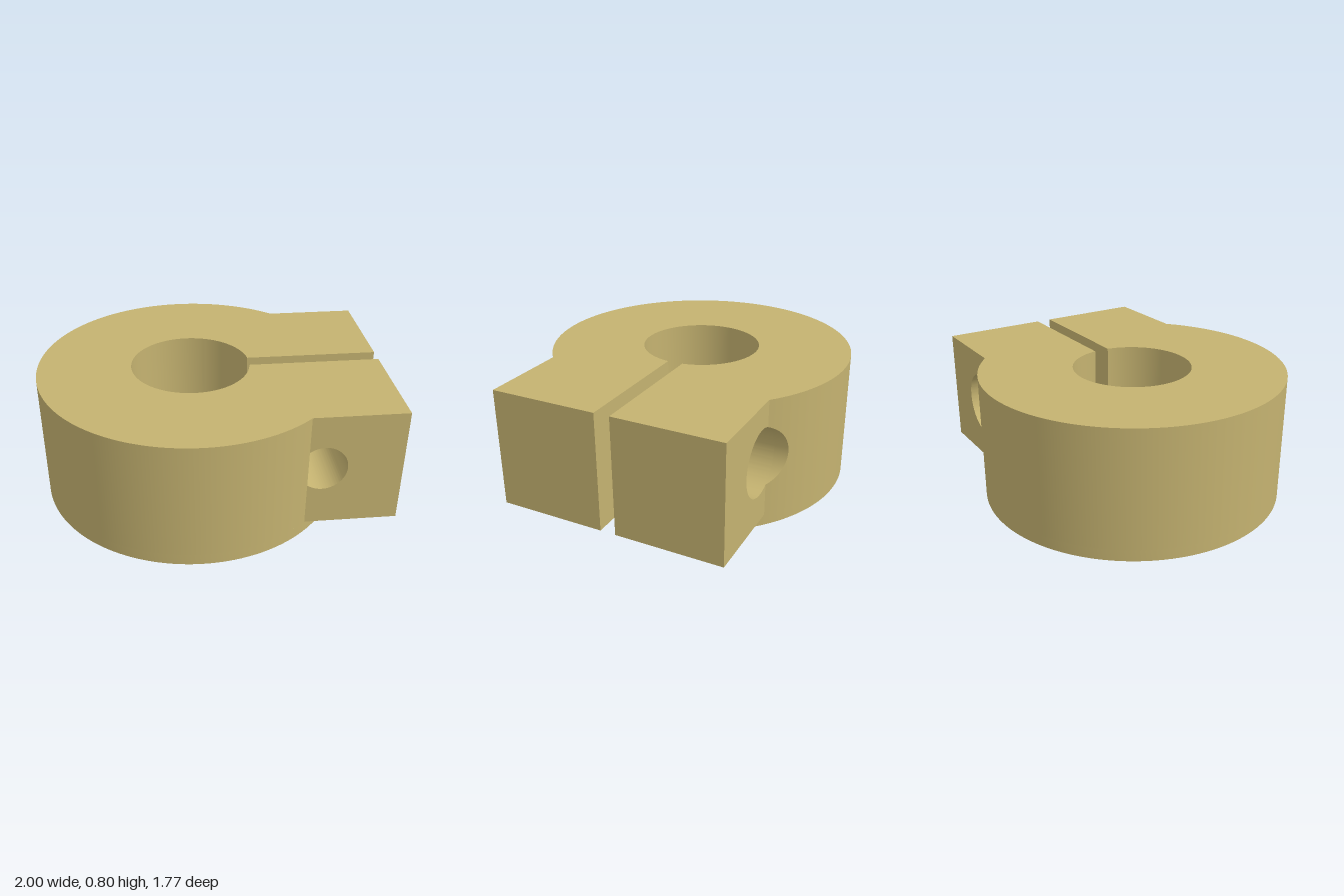
import * as THREE from 'three';
import { toCreasedNormals } from 'three/addons/utils/BufferGeometryUtils.js';

const CX = -0.1125, R = 0.8875, BORE = 0.345;   // drum centre, outer and bore radius
const SLOT = 0.045, ARM = 0.6675, SPLIT = 0.3;  // half slot, half arm width, drum/arm joint
const FLOOR = 0.115, TOP = 0.8;
const HX = 0.555, HY = 0.475, R_FRONT = 0.135, R_BACK = 0.19; // screw hole

const arcZ = (x) => Math.sqrt(R * R - (x - CX) ** 2);
const STEP = CX + Math.sqrt(R * R - ARM * ARM);  // where the arms leave the drum

export function createModel() {
  const group = new THREE.Group();
  const brass = new THREE.MeshStandardMaterial({ color: 0xc4b270, side: THREE.DoubleSide });
  brass.name = 'brass';

  const add = (name, geo) => {
    const mesh = new THREE.Mesh(geo, brass);
    mesh.name = name;
    group.add(mesh);
  };
  const extrude = (shape, depth) =>
    new THREE.ExtrudeGeometry(shape, { depth, bevelEnabled: false, curveSegments: 72 });
  // plan shape (x, -z) raised from y0 to y1
  const raise = (shape, y0, y1) =>
    toCreasedNormals(extrude(shape, y1 - y0).rotateX(-Math.PI / 2).translate(0, y0, 0), 0.5);

  // ring open at the slot
  const openRing = (ro, ri) => {
    const a = Math.asin(SLOT / ro), b = Math.asin(SLOT / ri);
    const s = new THREE.Shape();
    s.absarc(CX, 0, ro, a, 2 * Math.PI - a, false);
    s.absarc(CX, 0, ri, 2 * Math.PI - b, b, true);
    s.closePath();
    return s;
  };

  // smooth surface patch from f(u, v) -> [x, y, z]
  const patch = (nu, nv, f) => {
    const pos = [], idx = [];
    for (let i = 0; i <= nu; i++) {
      for (let j = 0; j <= nv; j++) {
        pos.push(...f(i / nu, j / nv));
        if (i < nu && j < nv) {
          const a = i * (nv + 1) + j, b = a + nv + 1;
          idx.push(a, b, a + 1, b, b + 1, a + 1);
        }
      }
    }
    const g = new THREE.BufferGeometry();
    g.setAttribute('position', new THREE.Float32BufferAttribute(pos, 3));
    g.setIndex(idx);
    g.computeVertexNormals();
    return g;
  };

  // drum, with the solid front shoulder beside the arm
  const drum = new THREE.Shape();
  const bore = Math.asin(SLOT / BORE);
  drum.absarc(CX, 0, R, Math.acos((SPLIT - CX) / R), 2 * Math.PI - Math.asin(ARM / R), false);
  drum.lineTo(SPLIT, -ARM);
  drum.lineTo(SPLIT, -SLOT);
  drum.absarc(CX, 0, BORE, 2 * Math.PI - bore, bore, true);
  drum.lineTo(SPLIT, SLOT);
  drum.closePath();
  add('drum', raise(drum, FLOOR, TOP));

  // underside: outer rim and raised boss with a groove between
  add('lowerRim', raise(openRing(R, 0.58), 0.05, FLOOR));
  add('boss', raise(openRing(0.5425, BORE), 0, FLOOR));

  // clamp arms with the screw hole, wider at the back
  const arm = (name, radius, z) => {
    const s = new THREE.Shape();
    s.moveTo(SPLIT, FLOOR);
    s.lineTo(1, FLOOR);
    s.lineTo(1, TOP);
    s.lineTo(SPLIT, TOP);
    s.closePath();
    s.holes.push(new THREE.Path().absarc(HX, HY, radius, 0, 2 * Math.PI, true));
    add(name, toCreasedNormals(extrude(s, ARM - SLOT).translate(0, 0, z), 0.5));
  };
  arm('frontArm', R_FRONT, SLOT);
  arm('backArm', R_BACK, -ARM);

  // back shoulder, bitten by the screw hole
  const t0 = Math.acos((STEP - HX) / R_BACK);
  const shoulderX = (u) => (u < 0.2
    ? SPLIT + (HX - R_BACK - SPLIT) * u / 0.2
    : HX + R_BACK * Math.cos(Math.PI + (t0 - Math.PI) * (u - 0.2) / 0.8));
  for (const [name, side, end] of [['upperShoulder', 1, TOP], ['lowerShoulder', -1, FLOOR]]) {
    add(name, patch(40, 4, (u, v) => {
      const x = shoulderX(u);
      const edge = HY + side * Math.sqrt(Math.max(0, R_BACK ** 2 - (x - HX) ** 2));
      // swap direction so both halves wind alike
      const w = side > 0 ? v : 1 - v;
      return [x, edge + (end - edge) * w, -arcZ(x)];
    }));
  }
  add('shoulderHoleWall', patch(40, 1, (u, v) => {
    const t = t0 + (2 * Math.PI - 2 * t0) * u;
    const x = HX + R_BACK * Math.cos(t);
    return [x, HY + R_BACK * Math.sin(t), -ARM - (arcZ(x) - ARM) * v];
  }));
  const cap = new THREE.Shape();
  cap.moveTo(SPLIT, ARM);
  cap.lineTo(STEP, ARM);
  cap.absarc(CX, 0, R, Math.asin(ARM / R), Math.acos((SPLIT - CX) / R), false);
  cap.closePath();
  add('shoulderTop', new THREE.ShapeGeometry(cap, 32).rotateX(-Math.PI / 2).translate(0, TOP, 0));

  return group;
}
